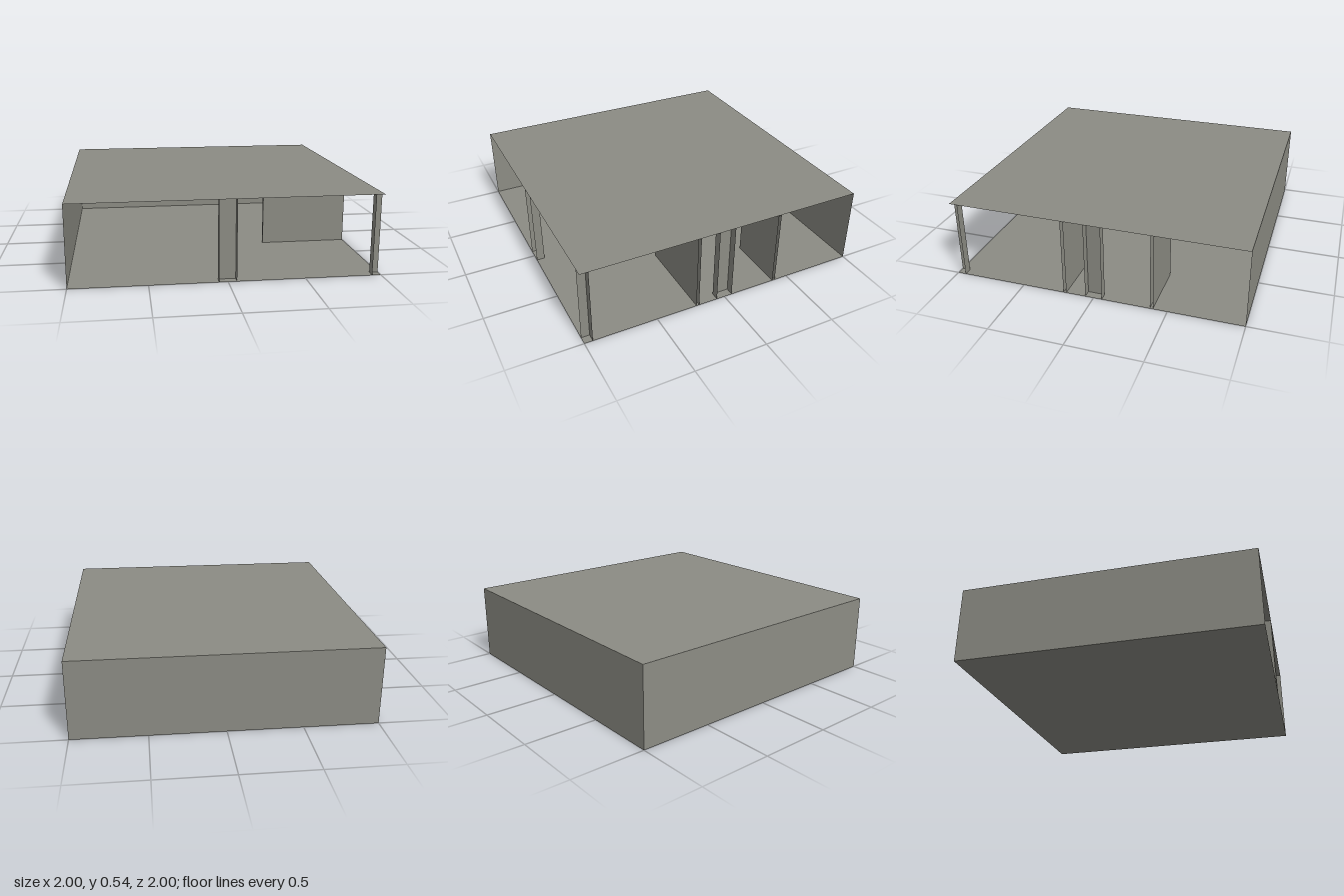
import * as THREE from 'three';
import { mergeGeometries } from 'three/addons/utils/BufferGeometryUtils.js';

const HEIGHT = 0.535;

export function createModel() {
  const group = new THREE.Group();
  group.name = 'openRoom';
  const concrete = new THREE.MeshStandardMaterial({ color: 0x8c8c84, side: THREE.DoubleSide });
  concrete.name = 'warm grey concrete';

  const add = (name, geometry) => {
    const mesh = new THREE.Mesh(geometry, concrete);
    mesh.name = name;
    group.add(mesh);
  };

  // Upright thin surface that follows a plan path of [x, z] points
  const wall = (name, path) => {
    const panels = path.slice(1).map(([x1, z1], i) => {
      const [x0, z0] = path[i];
      const panel = new THREE.PlaneGeometry(Math.hypot(x1 - x0, z1 - z0), HEIGHT);
      panel.rotateY(-Math.atan2(z1 - z0, x1 - x0));
      return panel.translate((x0 + x1) / 2, HEIGHT / 2, (z0 + z1) / 2);
    });
    add(name, mergeGeometries(panels));
  };

  // Floor and roof
  add('floor', new THREE.PlaneGeometry(2, 2).rotateX(Math.PI / 2));
  add('roof', new THREE.PlaneGeometry(2, 2).rotateX(-Math.PI / 2).translate(0, HEIGHT, 0));

  // Solid outer walls; the other two sides stay open
  wall('backWall', [[1, -1], [-1, -1]]);
  wall('rightWall', [[-1, -1], [-1, 1]]);

  // Columns, open where they meet the outer boundary
  const inner = 0.943, half = 0.057;
  wall('cornerColumn', [[inner, 1], [inner, inner], [1, inner]]);
  wall('frontColumn', [[-half, 1], [-half, inner], [half, inner], [half, 1]]);
  wall('leftColumn', [[1, half], [inner, half], [inner, -half], [1, -half]]);

  // Partitions reaching in from the open left side
  const partition = (name, xEnd, zFront, zBack) =>
    wall(name, [[1, zFront], [xEnd, zFront], [xEnd, zBack], [1, zBack]]);
  partition('frontPartition', 0.385, 0.212, 0.192);
  partition('backPartition', 0.58, -0.385, -0.405);

  return group;
}
